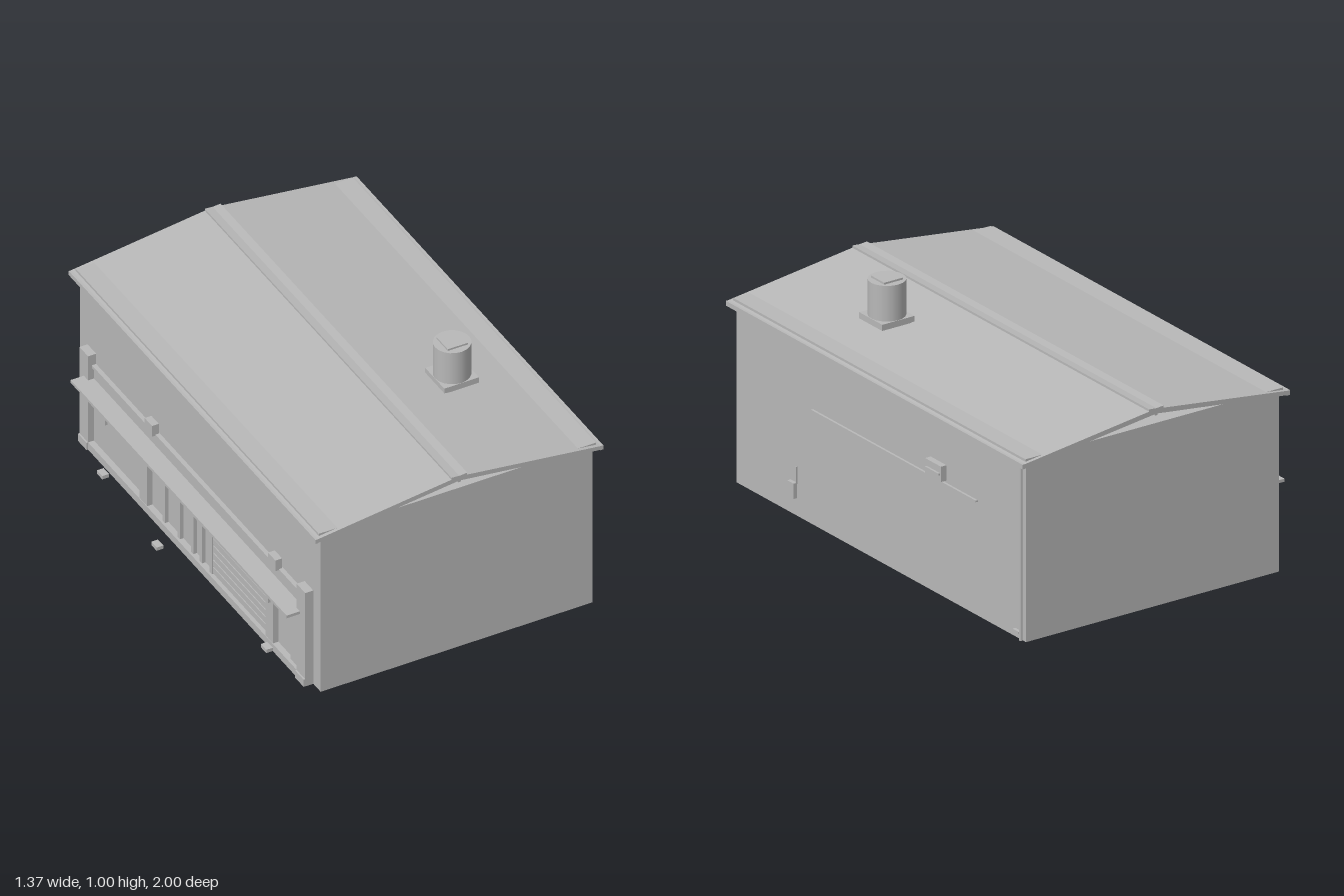
import * as THREE from 'three';

export function createModel() {
  const model = new THREE.Group();
  model.name = 'building';
  const grey = new THREE.MeshStandardMaterial({ color: 0xb8b8b8 });
  grey.name = 'plain grey';

  const add = (name, geometry, parent = model) => {
    const mesh = new THREE.Mesh(geometry, grey);
    mesh.name = name;
    parent.add(mesh);
    return mesh;
  };
  // Box given by its limits on each axis
  const box = (name, x0, x1, y0, y1, z0, z1, parent) => {
    const mesh = add(name, new THREE.BoxGeometry(x1 - x0, y1 - y0, z1 - z0), parent);
    mesh.position.set((x0 + x1) / 2, (y0 + y1) / 2, (z0 + z1) / 2);
    return mesh;
  };
  const group = (name) => {
    const g = new THREE.Group();
    g.name = name;
    model.add(g);
    return g;
  };
  // Profile in x and y drawn out along the length of the building
  const prism = (name, points, length, parent) => {
    const shape = new THREE.Shape(points.map(([x, y]) => new THREE.Vector2(x, y)));
    const geometry = new THREE.ExtrudeGeometry(shape, { depth: length, bevelEnabled: false });
    geometry.translate(0, 0, -length / 2);
    return add(name, geometry, parent);
  };

  // Main hall and ceiling slab
  box('walls', -0.566, 0.645, 0, 0.756, -0.975, 0.975);
  box('ceilingSlab', -0.58, 0.655, 0.755, 0.782, -0.985, 0.985);

  // Gabled roof, open at both ends
  const roof = group('roof');
  const ridge = 0.038;
  prism('roofSlopes', [
    [-0.598, 0.751], [ridge, 0.829], [0.674, 0.751],
    [0.676, 0.769], [ridge, 0.85], [-0.6, 0.769],
  ], 2, roof);
  prism('ridgeCap', [
    [0.003, 0.844], [ridge, 0.848], [0.073, 0.844],
    [0.073, 0.855], [ridge, 0.852], [0.003, 0.855],
  ], 2, roof);
  box('ridgeBeam', 0.032, 0.045, 0.822, 0.835, -1, 1, roof);
  for (const side of [-1, 1]) {
    const x = ridge + side * 0.634;
    box('eavesTrim', x - 0.007, x + 0.007, 0.75, 0.77, -1, 1, roof);
  }
  box('atticBoard', -0.32, -0.14, 0.78, 0.788, -0.5, 0.5, roof);

  // Roof vent
  const vent = group('roofVent');
  box('ventBase', 0.265, 0.42, 0.818, 0.844, 0.31, 0.465, vent);
  const drum = add('ventDrum', new THREE.CylinderGeometry(0.076, 0.076, 0.152, 20), vent);
  drum.position.set(0.342, 0.919, 0.388);
  box('ventCap', 0.298, 0.387, 0.994, 1.003, 0.343, 0.433, vent);

  // Fittings on the plain long wall
  const fittings = group('wallFittings');
  box('cableRail', 0.644, 0.655, 0.483, 0.49, -0.65, 0.46, fittings);
  box('wallUnit', 0.644, 0.672, 0.5, 0.565, -0.44, -0.333, fittings);
  box('wallUnitLip', 0.67, 0.681, 0.527, 0.536, -0.435, -0.343, fittings);
  box('meterBox', 0.644, 0.662, 0.075, 0.14, 0.567, 0.61, fittings);
  box('meterCable', 0.644, 0.651, 0.135, 0.21, 0.565, 0.571, fittings);
  const pipe = add('drainPipe', new THREE.CylinderGeometry(0.008, 0.008, 0.755, 10), fittings);
  pipe.position.set(0.651, 0.378, -0.948);
  box('drainSpout', 0.646, 0.66, 0.027, 0.037, -0.945, -0.905, fittings);

  // Shop front on the other long wall
  const shop = group('shopFront');
  box('backPanel', -0.576, -0.56, 0, 0.4, -0.88, 0.88, shop);
  box('topRail', -0.585, -0.565, 0.392, 0.405, -0.88, 0.88, shop);
  box('sill', -0.602, -0.565, 0, 0.035, -0.91, 0.91, shop);
  box('canopy', -0.661, -0.565, 0.325, 0.338, -0.88, 0.872, shop);
  for (const side of [-1, 1]) {
    const z = side * 0.88;
    box('endPost', -0.602, -0.565, 0, 0.455, z - 0.035, z + 0.035, shop);
    box('postFoot', -0.609, -0.58, 0, 0.035, z - 0.035, z + 0.035, shop);
    box('canopyLamp', -0.632, -0.622, 0.255, 0.327, side * 0.66 - 0.008, side * 0.66 + 0.008, shop);
  }
  for (const z of [-0.36, 0.64]) box('railLamp', -0.6, -0.57, 0.4, 0.452, z - 0.03, z + 0.03, shop);
  for (const z of [-0.4, 0.62]) box('doorPost', -0.6, -0.57, 0.03, 0.327, z - 0.03, z + 0.03, shop);

  // Glazing bars and slatted shutter
  for (const z of [-0.25, -0.13, -0.02, 0.05, 0.13]) {
    box('glazingBar', -0.592, -0.57, 0.035, 0.325, z - 0.01, z + 0.01, shop);
  }
  box('glazingHead', -0.592, -0.57, 0.305, 0.325, -0.37, 0.13, shop);
  for (let i = 0; i < 8; i++) {
    const y = 0.04 + i * 0.035;
    box('shutterSlat', -0.588, -0.57, y, y + 0.029, 0.14, 0.59, shop);
  }
  box('sidePanel', -0.588, -0.57, 0.035, 0.325, 0.77, 0.85, shop);

  // Loose paving blocks before the shop front
  const paving = group('pavingBlocks');
  for (const [x, z] of [[-0.67, -0.16], [-0.632, -0.67], [-0.616, 0.63]]) {
    box('pavingBlock', x - 0.015, x + 0.015, 0, 0.016, z - 0.022, z + 0.022, paving);
  }
  return model;
}
